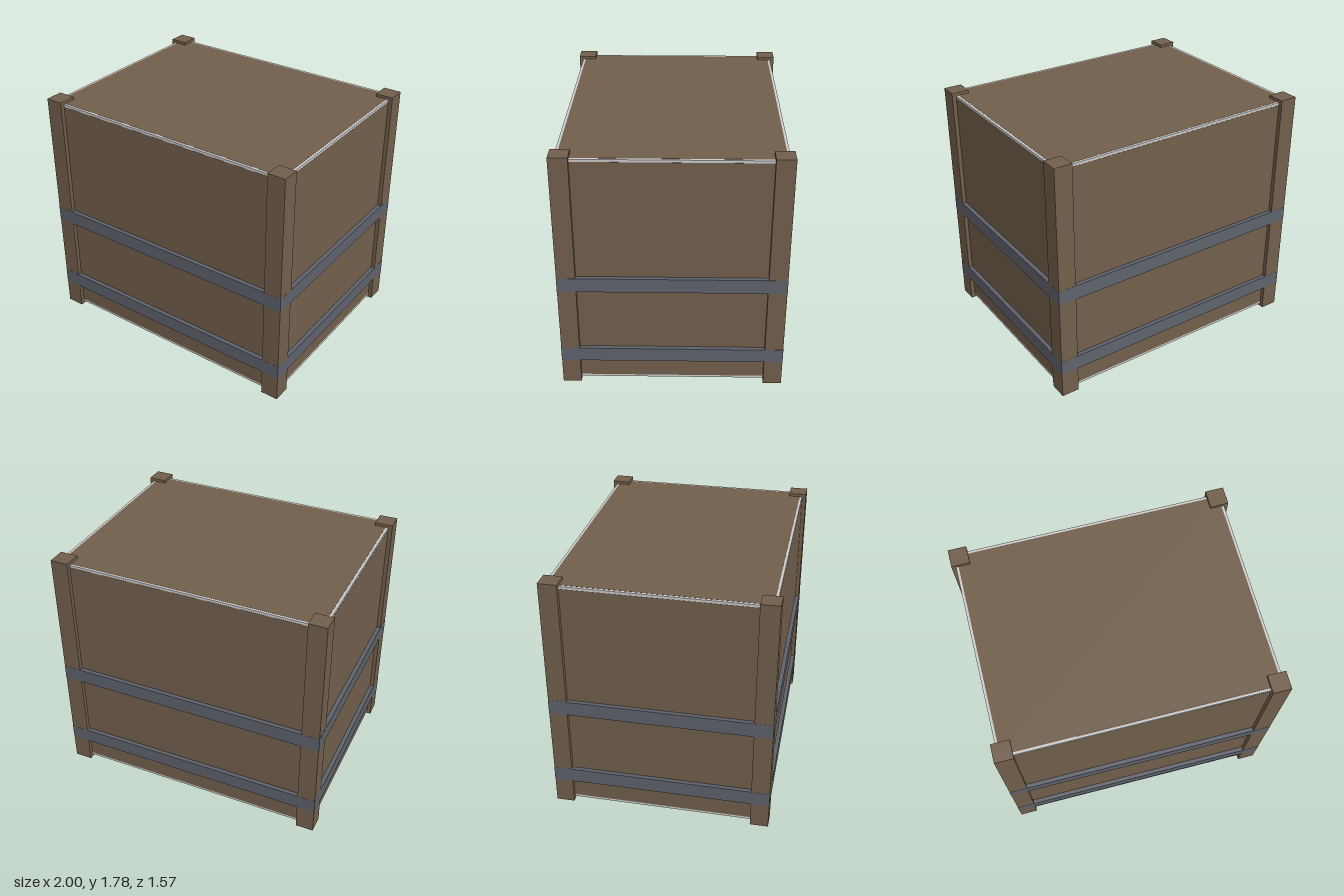
import * as THREE from 'three';

const wood = new THREE.MeshStandardMaterial({ color: 0x725f4c });
const iron = new THREE.MeshStandardMaterial({ color: 0x5e626b });
const grey = new THREE.MeshStandardMaterial({ color: 0xcccccc });

// Half width, half depth and height of the whole crate
const W = 1, D = 0.783, H = 1.785;

function box(parent, name, material, size, position) {
  const mesh = new THREE.Mesh(new THREE.BoxGeometry(...size), material);
  mesh.name = name;
  mesh.position.set(...position);
  parent.add(mesh);
  return mesh;
}

export function createModel() {
  const crate = new THREE.Group();
  crate.name = 'crate';
  const mid = H / 2;

  // Pale core, seen as a thin rim round every panel
  const core = [1.938, 1.74, 1.504];
  box(crate, 'core', grey, core, [0, mid, 0]);

  // Wooden panels laid on the six core faces: one slab per axis shows on both sides
  const inset = 0.036, proud = 0.002;
  ['sidePanels', 'topAndBottomPanels', 'frontAndBackPanels'].forEach((name, axis) => {
    const size = core.map((s, i) => (i === axis ? s + proud : s - inset));
    box(crate, name, wood, size, [0, mid, 0]);
  });

  // Corner posts
  const post = 0.13, flush = 0.001;
  for (const sx of [-1, 1]) {
    for (const sz of [-1, 1]) {
      box(crate, 'cornerPost', wood, [post, H, post],
        [sx * (W - flush - post / 2), mid, sz * (D - flush - post / 2)]);
    }
  }

  // Two metal bands, each of four bars running over the posts
  const bandHeight = 0.107, t = 0.06;
  for (const y of [0.243, 0.829]) {
    const band = new THREE.Group();
    band.name = 'metalBand';
    band.position.y = y;
    for (const s of [-1, 1]) {
      box(band, 'longBar', iron, [2 * W, bandHeight, t], [0, 0, s * (D - t / 2)]);
      box(band, 'shortBar', iron, [t, bandHeight, 2 * (D - t)], [s * (W - t / 2), 0, 0]);
    }
    crate.add(band);
  }
  return crate;
}
